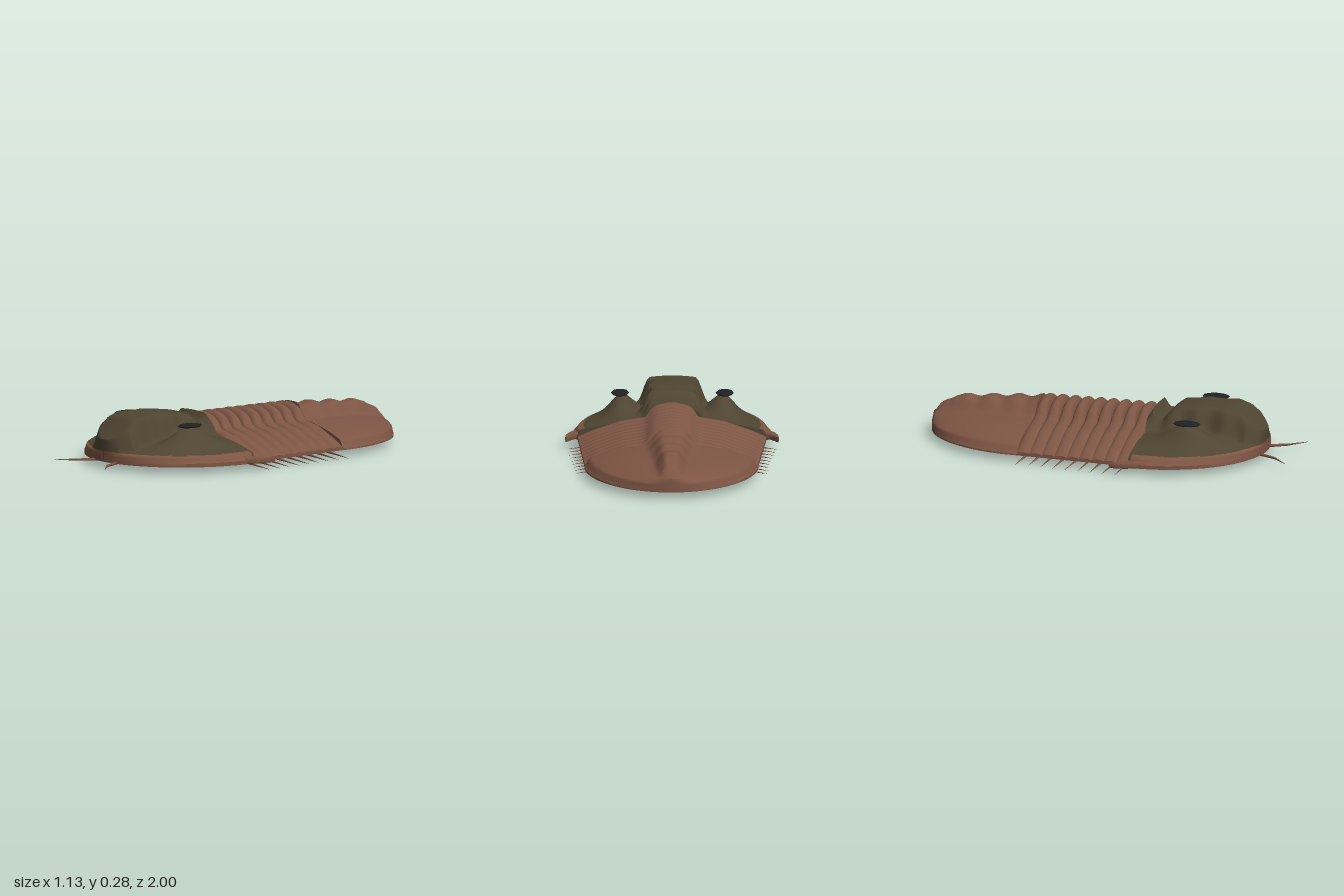
import * as THREE from 'three';
import { toCreasedNormals } from 'three/addons/utils/BufferGeometryUtils.js';

const FLOOR = 0.04;

function material(name, color) {
  const m = new THREE.MeshStandardMaterial({ color });
  m.name = name;
  return m;
}

const smooth = (a, b, v) => THREE.MathUtils.smoothstep(v, a, b);
const lerp = THREE.MathUtils.lerp;

// Piecewise linear lookup in a list of [position, value]
function lookup(points, v) {
  for (let i = 1; i < points.length; i++) {
    const [a, ya] = points[i - 1], [b, yb] = points[i];
    if (v <= b) return lerp(ya, yb, Math.max(0, (v - a) / (b - a)));
  }
  return points[points.length - 1][1];
}

// Shell plate with a flat underside: rows run along +z, columns along +x.
// pick(x, y, u) and under choose the material: 0 shell, 1 shield.
function plate(rows, cols, width, height, pick, under) {
  const zs = [rows[0], ...rows, rows[rows.length - 1]];
  const us = [-1];
  for (let j = 0; j <= cols; j++) {
    const s = (2 * j) / cols - 1;
    us.push(lerp(s, Math.sin((s * Math.PI) / 2), 0.6));
  }
  us.push(1);
  const pos = [], faces = [[], []], n = us.length;
  zs.forEach((z, i) => us.forEach((u, j) => {
    const rim = i === 0 || j === 0 || i === zs.length - 1 || j === n - 1;
    const w = width(z);
    pos.push(u * w, rim ? FLOOR : height(Math.abs(u * w), z, Math.abs(u), w), z);
  }));
  for (let i = 0; i < zs.length - 1; i++) {
    for (let j = 0; j < n - 1; j++) {
      const a = i * n + j, b = a + 1, c = a + n, d = c + 1;
      const y = (pos[a * 3 + 1] + pos[b * 3 + 1] + pos[c * 3 + 1] + pos[d * 3 + 1]) / 4;
      faces[pick(y, Math.abs(us[j] + us[j + 1]) / 2, zs[i])].push(a, c, b, b, c, d);
    }
    const l = i * n, r = l + n - 1;
    faces[under].push(l, r, l + n, r, r + n, l + n);
  }
  const g = new THREE.BufferGeometry();
  g.setAttribute('position', new THREE.Float32BufferAttribute(pos, 3));
  g.setIndex([...faces[0], ...faces[1]]);
  g.addGroup(0, faces[0].length, 0);
  g.addGroup(faces[0].length, faces[1].length, 1);
  return toCreasedNormals(g, 0.8);
}

// Tapered rod between two points
function rod(a, b, r0, r1, mat) {
  const from = new THREE.Vector3(...a), dir = new THREE.Vector3(...b).sub(from);
  const g = new THREE.CylinderGeometry(r1, r0, dir.length(), 6);
  g.translate(0, dir.length() / 2, 0);
  const m = new THREE.Mesh(g, mat);
  m.position.copy(from);
  m.quaternion.setFromUnitVectors(new THREE.Vector3(0, 1, 0), dir.normalize());
  return m;
}

export function createModel() {
  const root = new THREE.Group();
  root.name = 'trilobite';
  const shell = material('brown shell', 0x7d5544);
  const shield = material('olive shield', 0x4f4532);
  const black = material('black eye', 0x202124);
  const both = [shell, shield];
  const add = (mesh, name, parent = root) => {
    mesh.name = name;
    parent.add(mesh);
    return mesh;
  };

  // Head shield: raised centre lobe, two eye mounds, low brown border
  const lobe = [[0.21, 0.215], [0.24, 0.262], [0.285, 0.2], [0.35, 0.268],
    [0.48, 0.285], [0.65, 0.285], [0.72, 0.268], [0.8, 0.19], [0.835, 0.16]];
  const headWidth = (z) => z < 0.27 ? 0.525 - 0.3 * (0.27 - z)
    : Math.max(0.004, 0.525 * Math.sqrt(Math.max(0, 1 - ((z - 0.27) / 0.565) ** 2)));
  const headHeight = (x, z, u, w) => {
    const cheek = 0.06 + 0.025 * smooth(0, 0.06, 1 - u)
      + 0.065 * (1 - u ** 2.2) * (1 - 0.5 * smooth(0.6, 0.83, z));
    const mound = 0.095 * Math.exp(-(((x - 0.27) / 0.08) ** 2) - ((z - 0.47) / 0.13) ** 2);
    const half = Math.min(0.125 + 0.012 * Math.sin(z * 42), 0.5 * w);
    const top = lookup(lobe, z) - 0.008 * (x / 0.12) ** 2;
    const base = cheek + mound * smooth(0, 0.12, 1 - u);
    return Math.max(base, lerp(base, top, 1 - smooth(half * 0.9, half + Math.min(0.055, 0.4 * w), x)));
  };
  const headRows = [0.21, 0.225, 0.24, 0.255];
  for (let i = 0; i <= 40; i++) headRows.push(0.27 + 0.565 * Math.sin((i / 40) * Math.PI / 2));
  add(new THREE.Mesh(plate(headRows, 84, headWidth, headHeight,
    (y, u, z) => (y < 0.098 && u > 0.5 && z > 0.21 ? 0 : 1), 0), both), 'headShield');

  // Thorax: nine overlapping arched segments
  const thorax = add(new THREE.Group(), 'thorax');
  const front = 0.215, pitch = 0.0697;
  const thoraxWidth = (z) => lerp(0.46, 0.5, (z + 0.41) / 0.625);
  for (let k = 0; k < 9; k++) {
    const z1 = front - k * pitch, z0 = z1 - pitch, rows = [];
    for (let i = 0; i <= 8; i++) rows.push(lerp(z0, z1, i / 8));
    const height = (x, z, u) => {
      const arch = Math.sqrt(Math.max(0, Math.sin(((z - z0) / pitch) * Math.PI)));
      const axis = 0.2 + 0.05 * arch - 0.03 * (x / 0.12) ** 2;
      const rib = lookup([[0, 0.155], [0.28, 0.155], [0.55, 0.135], [0.85, 0.085], [1, 0.052]], u)
        + 0.018 * arch * (1 - 0.5 * u);
      return lerp(axis, rib, smooth(0.1, 0.145, x));
    };
    add(new THREE.Mesh(plate(rows, 48, thoraxWidth, height, () => 0, 1), both), 'thoraxSegment', thorax);
  }

  // Tail shield: domed half oval with a ringed, tapering axis
  const tailT = (z) => Math.min(1, Math.max(0, (-0.43 - z) / 0.57));
  const tailWidth = (z) => Math.max(0.004, 0.46 * Math.sqrt(1 - tailT(z) ** 1.85));
  const tailHeight = (x, z, u, w) => {
    const t = tailT(z);
    const side = 0.05 + 0.03 * smooth(0, 0.08, 1 - u) + 0.085 * (1 - u ** 2.2) * (1 - 0.55 * t * t);
    const top = lookup([[-1, 0.11], [-0.96, 0.155], [-0.88, 0.208], [-0.7, 0.22], [-0.41, 0.238]], z)
      + 0.009 * Math.cos((z + 0.41) * 46) * (1 - 0.3 * t);
    const half = Math.min(lerp(0.11, 0.03, t), 0.4 * w);
    return lerp(Math.max(side, top - 0.02 * (x / 0.1) ** 2), side,
      smooth(half * 0.5, half + Math.min(0.04, 0.4 * w), x));
  };
  const tailRows = [];
  for (let i = 44; i >= 0; i--) tailRows.push(-0.41 - 0.59 * Math.sin((i / 44) * Math.PI / 2));
  add(new THREE.Mesh(plate(tailRows, 72, tailWidth, tailHeight, () => 0, 1), both), 'tailShield');

  for (const s of [1, -1]) {
    const side = s > 0 ? 'left' : 'right';

    // Flat oval eyes on the mounds
    const eye = add(new THREE.Mesh(new THREE.SphereGeometry(1, 10, 8), black), side + 'Eye');
    eye.scale.set(0.048, 0.012, 0.075);
    eye.position.set(s * 0.277, 0.234, 0.472);

    // Hooked spine at the rear corner of the head
    const hook = new THREE.Shape();
    hook.moveTo(s * 0.49, 0.3);
    hook.lineTo(s * 0.525, 0.28);
    hook.quadraticCurveTo(s * 0.575, 0.2, s * 0.562, 0.125);
    hook.quadraticCurveTo(s * 0.545, 0.17, s * 0.515, 0.205);
    hook.lineTo(s * 0.49, 0.22);
    const hookGeo = new THREE.ExtrudeGeometry(hook, {
      depth: 0.01, bevelThickness: 0.011, bevelSize: 0.005, bevelOffset: -0.004, bevelSegments: 2, curveSegments: 6,
    });
    hookGeo.rotateX(Math.PI / 2).translate(0, 0.063, 0);
    add(new THREE.Mesh(hookGeo, shell), side + 'CheekSpine');

    // Jointed feelers
    const feeler = add(new THREE.Group(), side + 'Feeler');
    const path = [[s * 0.07, 0.042, 0.79], [s * 0.135, 0.042, 0.915], [s * 0.22, 0.04, 0.995]];
    feeler.add(rod(path[0], path[1], 0.009, 0.006, shell), rod(path[1], path[2], 0.006, 0.001, shell));
    feeler.children.forEach((m) => { m.name = 'feelerJoint'; });

    // Pointed legs, one pair for each thorax segment
    const legs = add(new THREE.Group(), side + 'Legs');
    for (let k = 0; k < 9; k++) {
      const z = front - (k + 0.35) * pitch;
      add(rod([s * 0.28, 0.032, z], [s * (0.555 - 0.006 * k), 0.002, z - 0.04], 0.011, 0.0005, shell), 'leg', legs);
    }
  }
  return root;
}
